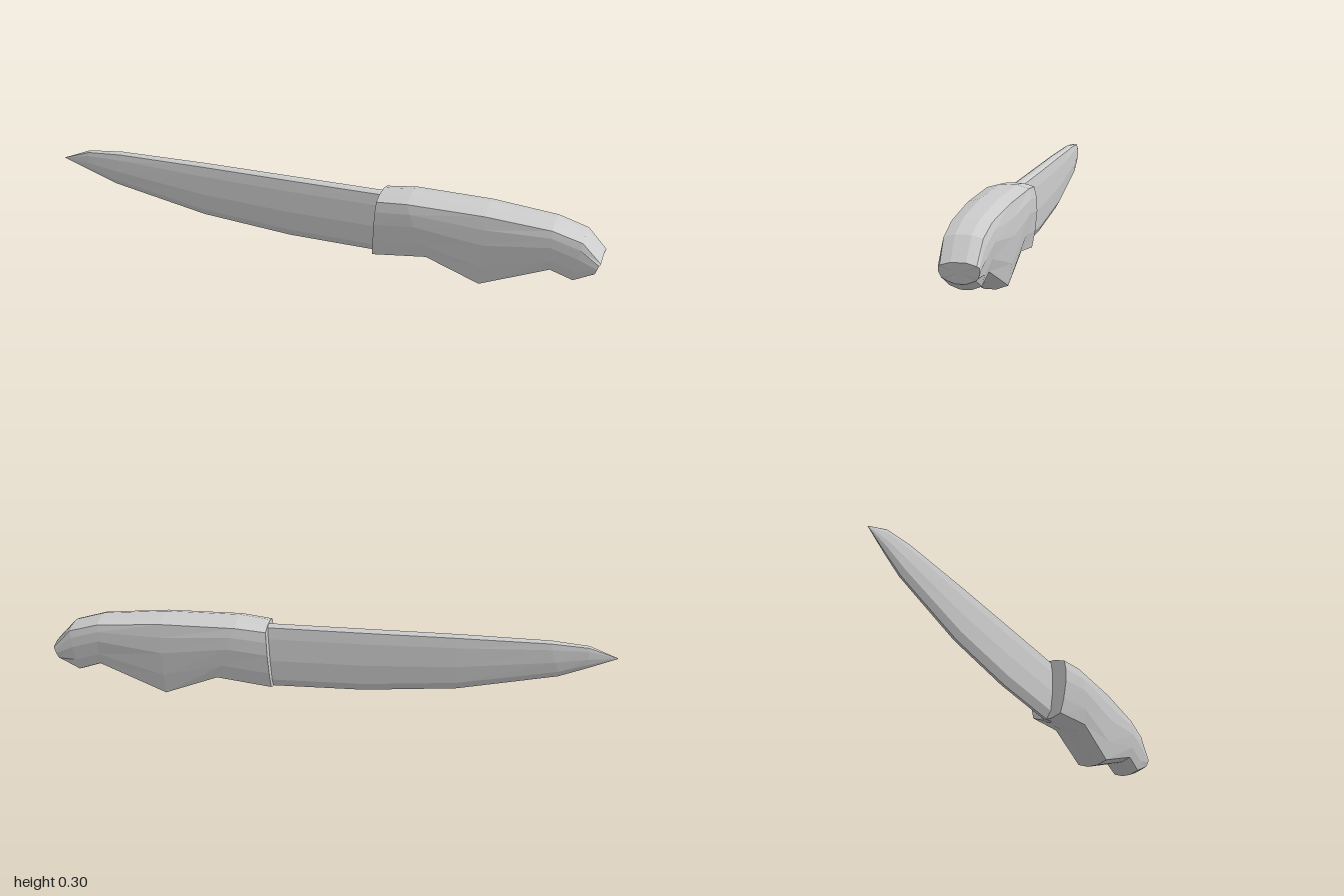
import * as THREE from 'three';

// Skin a list of closed rings running along +x, each ring anticlockwise seen from +x.
function loft(rings) {
  const n = rings[0].length;
  const positions = [];
  const index = [];
  rings.forEach((ring) => ring.forEach((p) => positions.push(...p)));
  for (let i = 0; i < rings.length - 1; i++) {
    for (let j = 0; j < n; j++) {
      const k = (j + 1) % n;
      const a = i * n + j, b = i * n + k, c = b + n, d = a + n;
      index.push(a, b, d, b, c, d);
    }
  }
  // Flat caps
  [0, rings.length - 1].forEach((r, end) => {
    const centre = [0, 1, 2].map((axis) => rings[r].reduce((sum, p) => sum + p[axis], 0) / n);
    const m = positions.length / 3;
    positions.push(...centre);
    for (let j = 0; j < n; j++) {
      const a = r * n + j, b = r * n + ((j + 1) % n);
      if (end) index.push(m, a, b);
      else index.push(m, b, a);
    }
  });
  const geometry = new THREE.BufferGeometry();
  geometry.setAttribute('position', new THREE.Float32BufferAttribute(positions, 3));
  geometry.setIndex(index);
  const flat = geometry.toNonIndexed();
  flat.computeVertexNormals();
  return flat;
}

// Mirror a half section into a ring. Each half point is [height fraction, lift, half width].
function ringOf([xt, yt, xb, yb, scale, zc = 0], half) {
  const point = ([t, lift, w], side) => [
    xb + (xt - xb) * t,
    yb + (yt - yb) * t + lift * scale,
    zc + side * w * scale,
  ];
  return [
    ...half.map((p) => point(p, -1)),
    ...[...half].reverse().map((p) => point(p, 1)),
  ];
}

export function createModel() {
  const group = new THREE.Group();
  group.name = 'knife';
  const grey = new THREE.MeshStandardMaterial({ color: 0xcccccc, flatShading: true });
  grey.name = 'grey';

  const add = (name, stations, half) => {
    const mesh = new THREE.Mesh(loft(stations.map((s) => ringOf(s, half))), grey);
    mesh.name = name;
    group.add(mesh);
  };

  // Blade: spine, slightly bulging sides and a ground cutting edge.
  // Stations: top x, top y, bottom x, bottom y, scale, z centre
  add('blade', [
    [-1.0, 0.232, -1.0, 0.23, 0.04, 0],
    [-0.9, 0.272, -0.9, 0.192, 0.5, -0.004],
    [-0.77, 0.284, -0.8, 0.155, 0.75, -0.006],
    [-0.45, 0.287, -0.45, 0.085, 0.93, -0.007],
    [-0.12, 0.286, -0.12, 0.056, 1, -0.007],
    [0.24, 0.285, 0.24, 0.05, 1, -0.007],
  ], [
    [0, 0, 0.005],
    [0, 0.03, 0.022],
    [0.45, 0, 0.028],
    [0.8, 0, 0.025],
    [1, -0.006, 0.019],
    [1, 0, 0.008],
  ]);

  // Handle: rounded slab with a finger hump below and a drooping butt
  add('handle', [
    [0.22, 0.288, 0.205, 0.05, 0.92],
    [0.33, 0.3, 0.4, 0.075, 1],
    [0.6, 0.297, 0.59, 0.002, 0.97],
    [0.83, 0.277, 0.83, 0.1, 0.88],
    [0.935, 0.246, 0.91, 0.073, 0.84],
    [1.0, 0.175, 0.975, 0.105, 0.78],
  ], [
    [0, 0, 0.02],
    [0, 0.015, 0.06],
    [0.3, 0, 0.073],
    [0.6, 0, 0.082],
    [0.8, 0, 0.08],
    [1, -0.012, 0.072],
    [1, 0, 0.03],
  ]);

  return group;
}
